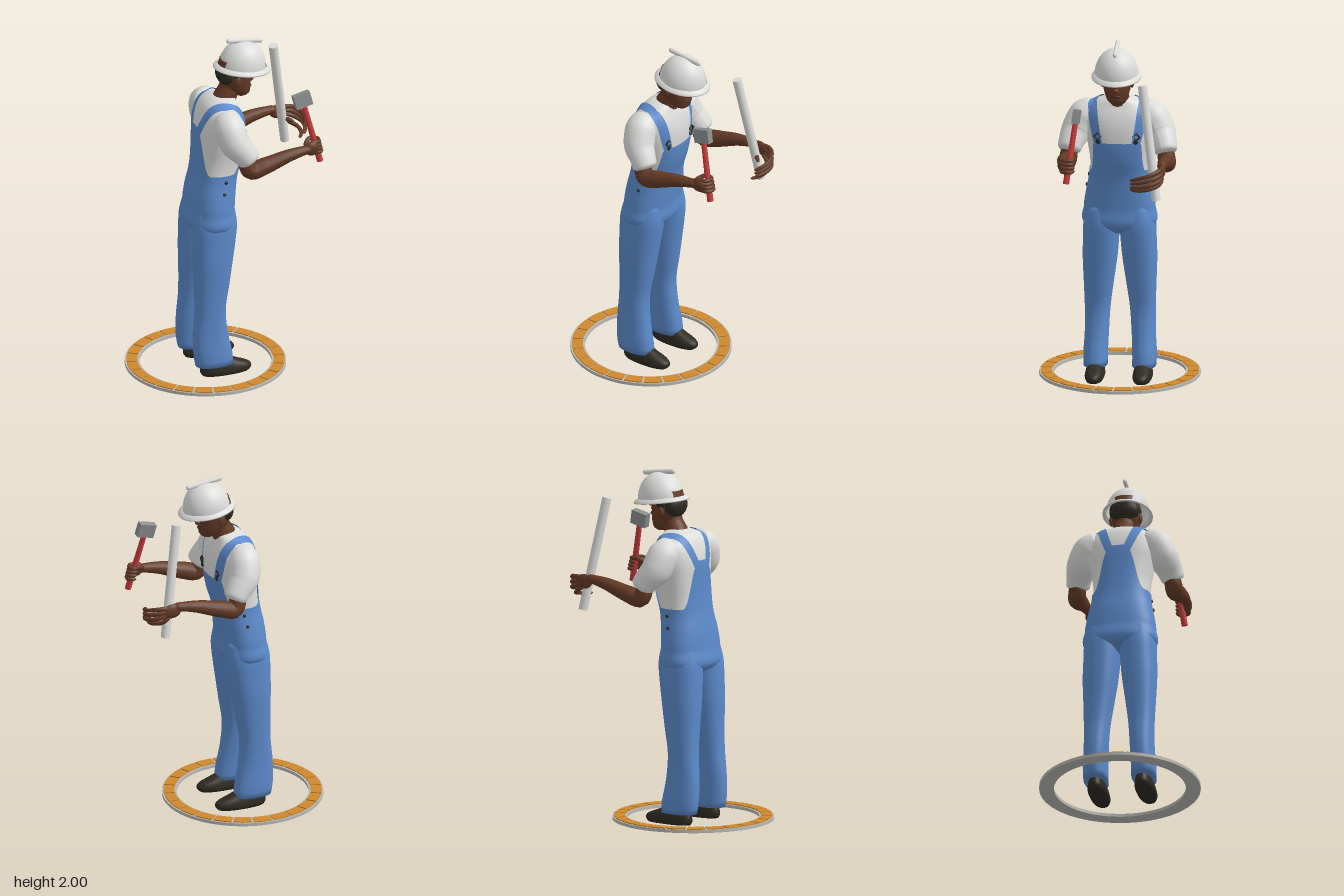
import * as THREE from 'three';

const paint = (name, color) => {
  const m = new THREE.MeshStandardMaterial({ color, side: THREE.DoubleSide });
  m.name = name;
  return m;
};
const M = {
  denim: paint('denim blue', 0x5c8acb), white: paint('white', 0xdcdddb),
  skin: paint('brown skin', 0x633a26), lips: paint('dark lips', 0x4a2620),
  dark: paint('black brown', 0x2e2a22), orange: paint('orange', 0xcf882c),
  grey: paint('light grey', 0xb9b9b7), steel: paint('steel', 0x8c8e90),
  red: paint('red', 0xc63b3b),
};

function add(group, name, geometry, material) {
  const mesh = new THREE.Mesh(geometry, material);
  mesh.name = name;
  group.add(mesh);
  return mesh;
}

// Upright skin through sections [y, x0, x1, z0, z1]; top(angle) may trim the upper edge
function loft(sections, { rows = 28, cols = 48, grow = 0, power = 0.85, top = null, from = sections[0][0] } = {}) {
  const spline = new THREE.CubicInterpolant(sections.map(s => s[0]), sections.flatMap(s => s.slice(1)), 4);
  const last = sections[sections.length - 1][0];
  const bend = v => Math.sign(v) * Math.abs(v) ** power;
  const pos = [], index = [];
  for (let r = 0; r <= rows; r++) for (let c = 0; c < cols; c++) {
    const a = c / cols * Math.PI * 2;
    const y = from + ((top ? top(a) : last) - from) * r / rows;
    const [x0, x1, z0, z1] = spline.evaluate(y);
    pos.push((x0 + x1) / 2 + ((x1 - x0) / 2 + grow) * bend(Math.cos(a)), y,
      (z0 + z1) / 2 + ((z1 - z0) / 2 + grow) * bend(Math.sin(a)));
    if (r < rows) {
      const i = r * cols + c, j = r * cols + (c + 1) % cols;
      index.push(i, i + cols, j, i + cols, j + cols, j);
    }
  }
  const cap = (y, row, flip) => {
    const [x0, x1, z0, z1] = spline.evaluate(y), n = pos.length / 3;
    pos.push((x0 + x1) / 2, y, (z0 + z1) / 2);
    for (let c = 0; c < cols; c++) {
      const i = row * cols + c, j = row * cols + (c + 1) % cols;
      index.push(n, flip ? j : i, flip ? i : j);
    }
  };
  cap(from, 0, false);
  if (!top) cap(last, rows, true);
  const g = new THREE.BufferGeometry();
  g.setAttribute('position', new THREE.Float32BufferAttribute(pos, 3));
  g.setIndex(index);
  g.computeVertexNormals();
  return g;
}

// Tube through points [x, y, z, radius] with rounded ends
function limb(points, steps = 24, sides = 16) {
  const curve = new THREE.CatmullRomCurve3(points.map(p => new THREE.Vector3(p[0], p[1], p[2])));
  const g = new THREE.TubeGeometry(curve, steps, 1, sides), p = g.attributes.position;
  const v = new THREE.Vector3(), n = points.length - 1;
  for (let i = 0; i <= steps; i++) {
    const t = i / steps, k = curve.getUtoTmapping(t) * n, f = Math.min(Math.floor(k), n - 1);
    const edge = Math.min(1, Math.min(t, 1 - t) * steps / 2);
    const r = THREE.MathUtils.lerp(points[f][3], points[f + 1][3], k - f) * Math.sqrt(1 - (1 - edge) ** 2);
    const c = curve.getPointAt(t);
    for (let j = 0; j <= sides; j++) {
      const id = i * (sides + 1) + j;
      v.fromBufferAttribute(p, id).sub(c).multiplyScalar(r).add(c);
      p.setXYZ(id, v.x, v.y, v.z);
    }
  }
  g.computeVertexNormals();
  return g;
}

function ball(group, name, material, [x, y, z], [a, b, c]) {
  add(group, name, new THREE.SphereGeometry(1, 20, 14).scale(a, b, c).translate(x, y, z), material);
}

// Flat ring sector lying on the ground, about the ring's own centre
function sector(r0, r1, a0, a1, height, y) {
  const s = new THREE.Shape();
  s.absarc(0, 0, r1, a0, a1, false);
  s.absarc(0, 0, r0, a1, a0, true);
  return new THREE.ExtrudeGeometry(s, { depth: height, bevelEnabled: false, curveSegments: a1 - a0 > 3 ? 64 : 5 })
    .rotateX(-Math.PI / 2).translate(-0.11, y, 0);
}

// Place a part so its own y axis runs from one point to another
function along(mesh, from, to) {
  const a = new THREE.Vector3(...from), b = new THREE.Vector3(...to);
  mesh.position.copy(a).lerp(b, 0.5);
  mesh.quaternion.setFromUnitVectors(new THREE.Vector3(0, 1, 0), b.sub(a).normalize());
}

export function createModel() {
  const g = new THREE.Group();
  g.name = 'worker';

  // Floor ring with 24 tiles
  add(g, 'ringBase', sector(0.372, 0.455, 0, Math.PI * 2 - 1e-4, 0.018, 0.012), M.grey);
  for (let i = 0; i < 24; i++) {
    const a = i * Math.PI / 12;
    add(g, 'ringTile', sector(0.384, 0.446, a + 0.014, a + Math.PI / 12 - 0.014, 0.008, 0.028), M.orange);
  }

  // Torso: shirt, with the overalls as a slightly larger trimmed skin
  const torso = [
    [0.85, -0.15, -0.03, -0.1, 0.1], [0.89, -0.215, 0.02, -0.185, 0.185], [1.0, -0.215, 0.03, -0.195, 0.195],
    [1.1, -0.205, 0.04, -0.18, 0.18], [1.2, -0.185, 0.055, -0.162, 0.162], [1.3, -0.175, 0.085, -0.163, 0.163],
    [1.4, -0.17, 0.1, -0.178, 0.178], [1.5, -0.165, 0.1, -0.195, 0.195], [1.57, -0.147, 0.085, -0.195, 0.195],
    [1.62, -0.122, 0.065, -0.155, 0.155], [1.65, -0.09, 0.055, -0.1, 0.1], [1.665, -0.06, 0.045, -0.06, 0.06]];
  const shirt = [add(g, 'shirt', loft(torso, { from: 1.12, rows: 40 }), M.white)];
  const bibTop = a => {
    const s = Math.abs(Math.sin(a)), step = THREE.MathUtils.smoothstep;
    return Math.cos(a) > 0 ? 1.41 - 0.18 * step(s, 0.66, 0.9) : 1.5 - 0.27 * step(s, 0.12, 0.85);
  };
  add(g, 'overallsBody', loft(torso, { grow: 0.007, top: bibTop, cols: 96, rows: 40 }), M.denim);

  for (const s of [1, -1]) {
    const mirror = list => list.map(([y, x0, x1, a, b]) => [y, x0, x1, Math.min(a * s, b * s), Math.max(a * s, b * s)]);
    // Trouser legs and shoes
    add(g, 'trouserLeg', loft(mirror([
      [0.065, -0.22, 0.0, 0.07, 0.205], [0.12, -0.23, -0.005, 0.07, 0.207], [0.25, -0.233, -0.03, 0.065, 0.2],
      [0.4, -0.22, -0.043, 0.055, 0.2], [0.55, -0.22, -0.02, 0.035, 0.205], [0.7, -0.225, 0.003, 0.014, 0.21],
      [0.82, -0.225, 0.022, 0.004, 0.207], [0.92, -0.222, 0.032, 0, 0.203], [1.02, -0.2, 0.02, 0.01, 0.18]])), M.denim);
    add(g, 'shoe', loft(mirror([
      [0, -0.18, 0.095, 0.087, 0.183], [0.015, -0.19, 0.11, 0.08, 0.19], [0.045, -0.19, 0.1, 0.083, 0.187],
      [0.07, -0.18, 0.04, 0.09, 0.18], [0.1, -0.16, -0.03, 0.1, 0.17]]), { rows: 12 }), M.dark);
    // Sleeves and forearms
    shirt.push(add(g, 'sleeve', limb([
      [-0.045, 1.58, 0.12 * s, 0.07], [-0.04, 1.54, 0.19 * s, 0.09], [-0.02, 1.46, 0.235 * s, 0.088],
      [0.025, 1.4, 0.262 * s, 0.073], [0.06, 1.345, 0.277 * s, 0.064]], 28, 24), M.white));
    add(g, 'forearm', limb([
      [0.02, 1.41, 0.265 * s, 0.045], [0.055, 1.3, 0.28 * s, 0.052], [0.14, 1.315, 0.283 * s, 0.049],
      [0.28, 1.355, 0.285 * s, 0.036], [0.37, 1.37, 0.283 * s, 0.027], [0.43, 1.375, 0.28 * s, 0.024]], 36), M.skin);
    // Side buttons
    for (const [x, y] of [[-0.065, 1.125], [-0.05, 1.19]])
      ball(g, 'sideButton', M.dark, [x, y, (y < 1.15 ? 0.184 : 0.171) * s], [0.01, 0.01, 0.006]);
  }

  // Shoulder straps laid over the shirt, with a buckle on each
  const ray = new THREE.Raycaster();
  const onShirt = (a, z) => {
    const dir = new THREE.Vector3(Math.cos(a), Math.sin(a), 0);
    ray.set(new THREE.Vector3(-0.03, 1.4, z).addScaledVector(dir, 1), dir.clone().negate());
    const hit = ray.intersectObjects(shirt)[0];
    return (hit ? hit.point : new THREE.Vector3(-0.03, 1.4, z).addScaledVector(dir, 0.15)).addScaledVector(dir, 0.008);
  };
  for (const s of [1, -1]) {
    const pos = [], index = [], n = 40;
    for (let i = 0; i <= n; i++) {
      const t = i / n, a = t * Math.PI * 0.97;
      const z = s * (t < 0.45 ? 0.105 + 0.04 * t / 0.45 : 0.145 - 0.125 * (t - 0.45) / 0.55);
      for (let k = 0; k < 4; k++) pos.push(...onShirt(a, z + (k / 3 - 0.5) * 0.05).toArray());
      if (i < n) for (let k = 0; k < 3; k++) {
        const q = i * 4 + k;
        index.push(q, q + 4, q + 1, q + 4, q + 5, q + 1);
      }
    }
    const strap = new THREE.BufferGeometry();
    strap.setAttribute('position', new THREE.Float32BufferAttribute(pos, 3));
    strap.setIndex(index);
    strap.computeVertexNormals();
    add(g, 'strap', strap, M.denim);
    const buckle = add(g, 'buckle', new THREE.TorusGeometry(0.02, 0.006, 6, 4), M.dark);
    buckle.position.copy(onShirt(0.38, 0.11 * s));
    buckle.rotation.y = Math.PI / 2;
    ball(g, 'bibButton', M.dark, onShirt(0.16, 0.105 * s).toArray(), [0.007, 0.015, 0.015]);
  }

  // Neck, head and face
  add(g, 'neck', limb([[-0.015, 1.57, 0, 0.08], [0.0, 1.63, 0, 0.07], [0.03, 1.7, 0, 0.058], [0.05, 1.78, 0, 0.055]]), M.skin);
  add(g, 'head', loft([
    [1.645, 0.08, 0.13, -0.025, 0.025], [1.66, 0.05, 0.149, -0.046, 0.046], [1.69, 0.01, 0.156, -0.064, 0.064],
    [1.73, -0.015, 0.158, -0.076, 0.076], [1.77, -0.03, 0.158, -0.082, 0.082], [1.82, -0.033, 0.163, -0.083, 0.083],
    [1.88, -0.02, 0.14, -0.075, 0.075]], { power: 0.95 }), M.skin);
  ball(g, 'hair', M.dark, [0.01, 1.795, 0], [0.054, 0.07, 0.086]);
  ball(g, 'nose', M.skin, [0.16, 1.735, 0], [0.02, 0.015, 0.018]);
  ball(g, 'noseBridge', M.skin, [0.155, 1.757, 0], [0.014, 0.028, 0.01]);
  ball(g, 'mouth', M.lips, [0.152, 1.699, 0], [0.011, 0.009, 0.027]);
  for (const s of [1, -1]) {
    ball(g, 'ear', M.skin, [0.055, 1.76, 0.083 * s], [0.02, 0.032, 0.012]);
    ball(g, 'sideburn', M.dark, [0.06, 1.805, 0.079 * s], [0.03, 0.025, 0.008]);
    ball(g, 'eye', M.dark, [0.146, 1.769, 0.034 * s], [0.008, 0.006, 0.014]);
    ball(g, 'eyebrow', M.dark, [0.148, 1.788, 0.036 * s], [0.009, 0.005, 0.021]);
  }

  // Hard hat
  const hat = new THREE.Group();
  hat.name = 'hardHat';
  hat.position.set(0.11, 1.82, 0);
  hat.rotation.z = -0.13;
  g.add(hat);
  const dome = new THREE.SphereGeometry(1, 40, 16, 0, Math.PI * 2, 0, Math.PI / 2).scale(0.135, 0.155, 0.124);
  add(hat, 'dome', dome, M.white);
  const rim = [[0.86, 0.012], [0.92, 0.006], [1, -0.006], [1, -0.013], [0.85, -0.004], [0.86, 0.012]];
  add(hat, 'brim', new THREE.LatheGeometry(rim.map(p => new THREE.Vector2(...p)).reverse(), 48).scale(0.166, 1, 0.141), M.white);
  const ridge = new THREE.CapsuleGeometry(0.012, 0.195, 6, 12).rotateZ(Math.PI / 2).scale(1, 1.2, 1);
  add(hat, 'ridge', ridge.translate(-0.005, 0.154, 0), M.white);

  // Hammer
  const hammer = new THREE.Group();
  hammer.name = 'hammer';
  along(hammer, [0.485, 1.275, 0.252], [0.387, 1.69, 0.195]);
  g.add(hammer);
  add(hammer, 'hammerHandle', new THREE.CylinderGeometry(0.015, 0.018, 0.38, 14).translate(0, -0.025, 0), M.red);
  add(hammer, 'hammerHead', new THREE.BoxGeometry(0.1, 0.08, 0.042).translate(0, 0.17, 0), M.steel);

  // Pipe
  along(add(g, 'pipe', new THREE.CylinderGeometry(0.026, 0.026, 0.655, 24), M.white), [0.365, 1.825, -0.17], [0.468, 1.187, -0.257]);

  // Hand closed round the hammer
  ball(g, 'rightPalm', M.skin, [0.425, 1.375, 0.28], [0.045, 0.043, 0.025]);
  for (let i = 0; i < 4; i++) {
    const y = 1.345 + i * 0.021, x = -0.005 * i;
    add(g, 'rightFinger', limb([[0.43 + x, y, 0.283, 0.012], [0.482 + x, y, 0.272, 0.012],
      [0.49 + x, y, 0.225, 0.011], [0.45 + x, y, 0.21, 0.01]], 14, 8), M.skin);
  }
  add(g, 'rightThumb', limb([[0.39, 1.385, 0.265, 0.014], [0.42, 1.405, 0.225, 0.013], [0.455, 1.415, 0.212, 0.011]], 12, 8), M.skin);

  // Open hand curled beside the pipe
  ball(g, 'leftPalm', M.skin, [0.44, 1.355, -0.287], [0.055, 0.042, 0.02]);
  for (let i = 0; i < 4; i++) {
    const d = 0.028 * i, x = i === 3 ? -0.025 : 0;
    add(g, 'leftFinger', limb([[0.45, 1.378 - d * 0.6, -0.29, 0.013], [0.52 + x, 1.375 - d, -0.278, 0.013],
      [0.56 + x, 1.355 - d, -0.225, 0.012], [0.557 + x, 1.335 - d * 0.9, -0.165, 0.011],
      [0.525 + x, 1.315 - d * 0.7, -0.11, 0.009]], 20, 8), M.skin);
  }
  add(g, 'leftThumb', limb([[0.4, 1.35, -0.275, 0.015], [0.45, 1.335, -0.235, 0.014], [0.5, 1.325, -0.19, 0.01]], 12, 8), M.skin);
  return g;
}
